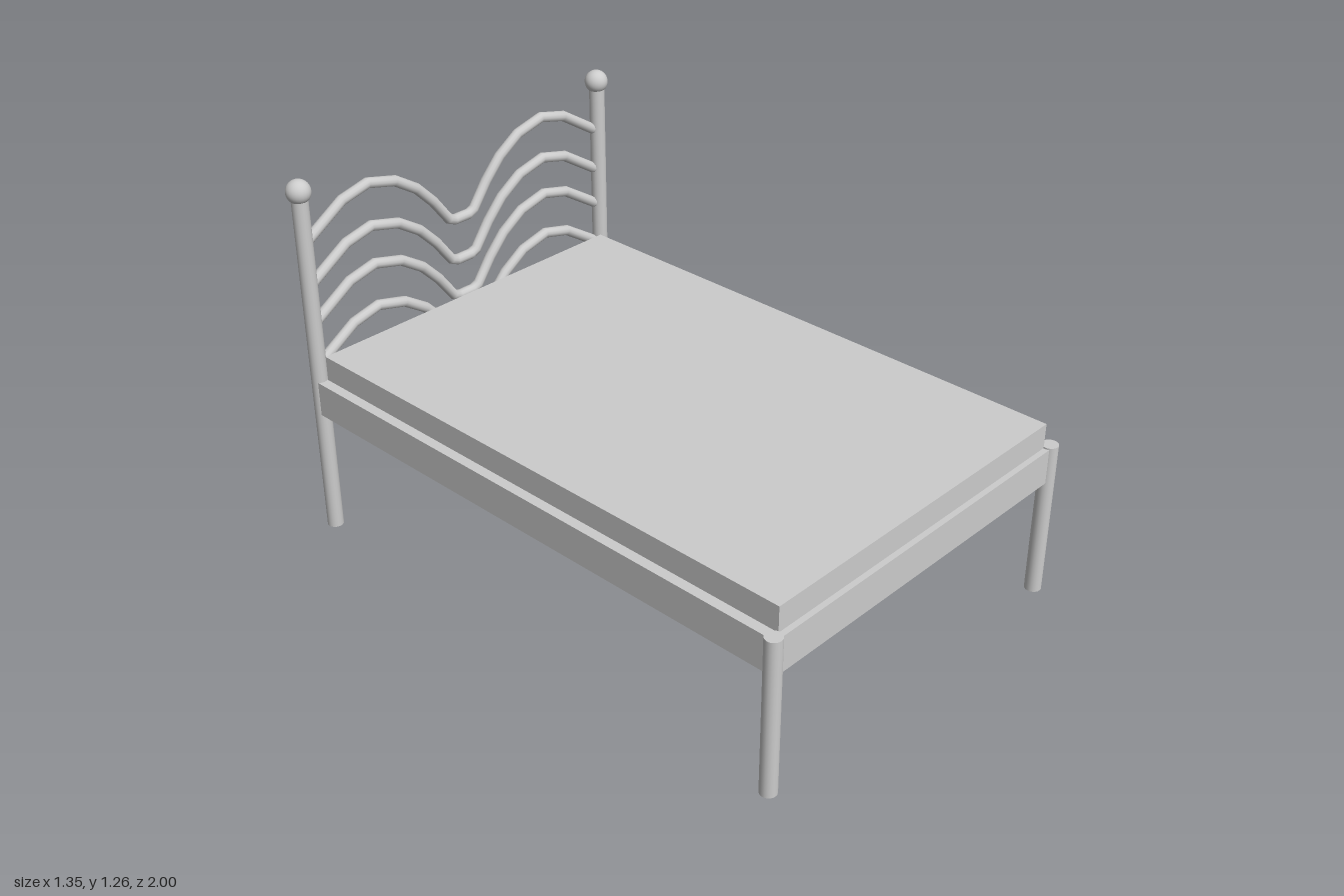
import * as THREE from 'three';

export function createModel() {
  const bed = new THREE.Group();
  bed.name = 'bed';
  const grey = new THREE.MeshStandardMaterial({ color: 0xcccccc });
  grey.name = 'light grey';

  const add = (name, geometry, x, y, z) => {
    const mesh = new THREE.Mesh(geometry, grey);
    mesh.name = name;
    mesh.position.set(x, y, z);
    bed.add(mesh);
  };
  // box given by its limits on each axis
  const box = (name, x0, x1, y0, y1, z0, z1) =>
    add(name, new THREE.BoxGeometry(x1 - x0, y1 - y0, z1 - z0),
      (x0 + x1) / 2, (y0 + y1) / 2, (z0 + z1) / 2);
  const post = (name, x, y0, y1, z) =>
    add(name, new THREE.CylinderGeometry(0.027, 0.027, y1 - y0, 20), x, (y0 + y1) / 2, z);

  // posts with ball finials at the head, short legs at the foot
  for (const x of [-0.636, 0.633]) {
    post('headPost', x, 0, 1.2, -0.958);
    add('ballFinial', new THREE.SphereGeometry(0.04, 24, 16), x, 1.216, -0.96);
  }
  for (const x of [-0.648, 0.635]) post('footLeg', x, 0.03, 0.565, 0.973);

  // frame rails
  const L = -0.656, R = 0.645, B = -0.975, F = 0.986, T = 0.036;
  box('sideRail', L, L + T, 0.44, 0.56, B, F);
  box('sideRail', R - T, R, 0.44, 0.56, B, F);
  box('headRail', L + T, R - T, 0.44, 0.56, B, B + T);
  box('footRail', L + T, R - T, 0.44, 0.56, F - T, F);

  // slats under the mattress
  const slats = 14, z0 = B + T, pitch = (F - T - z0) / slats;
  for (let i = 0; i < slats; i++)
    box('slat', L + T, R - T, 0.485, 0.505, z0 + i * pitch + 0.004, z0 + (i + 1) * pitch - 0.004);

  box('mattress', -0.622, 0.61, 0.505, 0.645, -0.932, 0.967);

  // four wavy tubes across the headboard, mirrored about the middle
  const half = [[0.612, 1.048], [0.475, 1.135], [0.372, 1.16], [0.265, 1.133],
    [0.18, 1.078], [0.115, 1.01], [0.055, 0.928], [0.03, 0.917]];
  const wave = [...half.map(([x, y]) => [-x, y]), [0, 0.917], ...half.slice().reverse()];
  const curve = new THREE.CatmullRomCurve3(wave.map(([x, y]) => new THREE.Vector3(x, y, 0)));
  curve.getUtoTmapping = (u) => u; // one segment per control point
  const tube = new THREE.TubeGeometry(curve, wave.length - 1, 0.018, 12);
  for (const drop of [0, 0.148, 0.282, 0.433]) {
    add('headboardTube', tube, -0.004, -drop, -0.962);
    // end caps
    for (const s of [-1, 1])
      add('tubeEnd', new THREE.SphereGeometry(0.0175, 12, 8), s * 0.612 - 0.004, 1.048 - drop, -0.962);
  }

  return bed;
}
